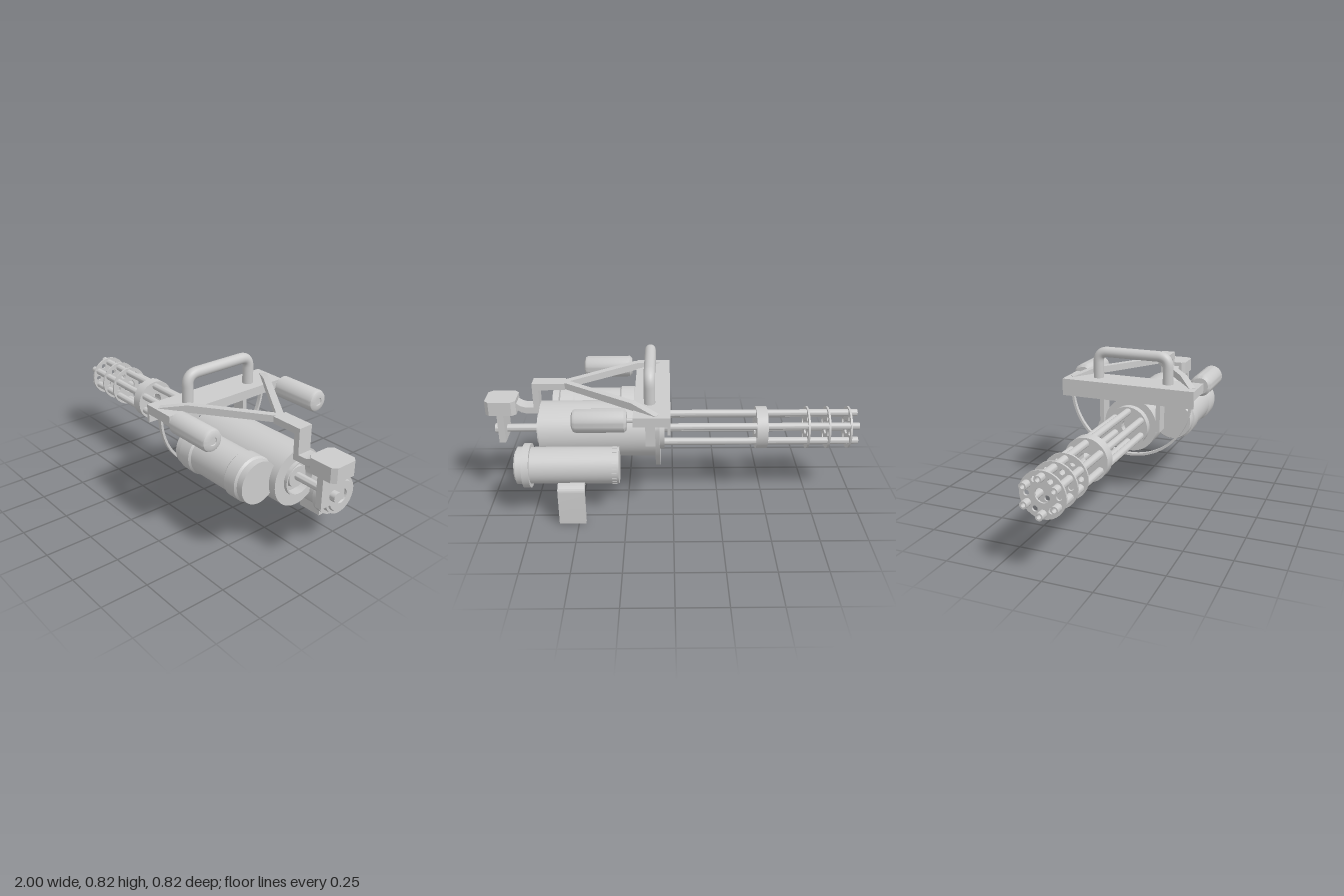
import * as THREE from 'three';
import { toCreasedNormals } from 'three/addons/utils/BufferGeometryUtils.js';

const AXIS_Y = 0.4;

export function createModel() {
  const model = new THREE.Group();
  const material = new THREE.MeshStandardMaterial({ color: 0xcccccc });

  const add = (name, geometry, x = 0, y = 0, z = 0) => {
    const mesh = new THREE.Mesh(geometry, material);
    mesh.name = name;
    mesh.position.set(x, y, z);
    model.add(mesh);
    return mesh;
  };

  // Turned part along x; profile is [x, radius] pairs from the muzzle side to the rear.
  const turned = (profile, segments = 48) => {
    const points = profile.map(([x, r]) => new THREE.Vector2(r, x));
    const geometry = new THREE.LatheGeometry(points, segments).rotateZ(-Math.PI / 2);
    return toCreasedNormals(geometry, 0.6);
  };
  const rod = (x0, x1, r, segments = 24) => turned([[x0, 0], [x0, r], [x1, r], [x1, 0]], segments);

  const box = (name, x0, x1, y0, y1, z0, z1) =>
    add(name, new THREE.BoxGeometry(x1 - x0, y1 - y0, z1 - z0), (x0 + x1) / 2, (y0 + y1) / 2, (z0 + z1) / 2);

  const polygon = (points) => new THREE.Shape(points.map(([x, y]) => new THREE.Vector2(x, y)));
  const extrude = (shape, depth) =>
    toCreasedNormals(new THREE.ExtrudeGeometry(shape, { depth, bevelEnabled: false, curveSegments: 32 }), 0.6);
  // Cross-section in the yz plane (shape x is -z), extruded towards +x.
  const extrudeX = (shape, depth) => extrude(shape, depth).rotateY(Math.PI / 2);

  // Six hollow barrels
  for (let i = 0; i < 6; i++) {
    const a = (i / 6) * Math.PI * 2;
    const barrel = turned([[-0.9, 0], [-0.9, 0.011], [-1, 0.011], [-1, 0.019], [0.1, 0.019]], 20);
    add('barrel', barrel, 0, AXIS_Y + 0.087 * Math.cos(a), 0.087 * Math.sin(a));
  }

  // Barrel spacers: drilled discs, clamp band and rear plate
  const spacer = (name, x, thickness, radius, drilled) => {
    const shape = new THREE.Shape().absarc(0, 0, radius, 0, Math.PI * 2);
    shape.holes.push(new THREE.Path().absarc(0, 0, 0.038, 0, Math.PI * 2, true));
    for (let i = 0; drilled && i < 6; i++) {
      const a = (i / 6) * Math.PI * 2;
      shape.holes.push(new THREE.Path().absarc(0.08 * Math.cos(a), 0.08 * Math.sin(a), 0.014, 0, Math.PI * 2, true));
    }
    add(name, extrudeX(shape, thickness), x, AXIS_Y, 0);
  };
  for (const x of [-0.96, -0.845, -0.735]) spacer('barrelDisc', x, 0.01, 0.115, true);
  spacer('barrelClamp', -0.51, 0.06, 0.115, false);
  spacer('barrelPlate', 0.045, 0.045, 0.113, false);

  // Main housing with a recessed rear collar and drive shaft
  add('housing', turned([
    [0.085, 0], [0.085, 0.152], [0.71, 0.152], [0.71, 0.092], [0.728, 0.092],
    [0.728, 0.084], [0.68, 0.084], [0.68, 0.06], [0.71, 0.055], [0.71, 0],
  ], 64), 0, AXIS_Y, 0);
  add('driveShaft', rod(0.7, 0.91, 0.021), 0, 0.405, 0);
  add('shaftNut', rod(0.93, 0.965, 0.026), 0, 0.403, 0);

  // Left drum with two raised bands
  add('leftDrum', turned([
    [0.17, 0], [0.17, 0.105], [0.175, 0.109], [0.21, 0.109], [0.215, 0.118], [0.285, 0.118], [0.295, 0.109],
    [0.545, 0.109], [0.555, 0.118], [0.625, 0.118], [0.635, 0.109], [0.67, 0.109], [0.67, 0],
  ]), 0, 0.427, 0.215);

  // Right motor with rear flange, end cap and socket
  add('rightMotor', turned([
    [0.285, 0], [0.285, 0.098], [0.75, 0.098], [0.75, 0.118], [0.787, 0.118], [0.787, 0.1],
    [0.822, 0.1], [0.822, 0.086], [0.832, 0.082], [0.832, 0.04], [0.81, 0.033], [0.81, 0],
  ]), 0, 0.277, -0.19);
  for (let i = 0; i < 20; i++) {
    const a = (i / 20) * Math.PI * 2;
    const vent = add('motorVent', new THREE.BoxGeometry(0.025, 0.006, 0.012),
      0.308, 0.277 + 0.098 * Math.cos(a), -0.19 + 0.098 * Math.sin(a));
    vent.rotation.x = a;
  }

  // Bent bracket leg below the right motor
  const leg = new THREE.Shape();
  leg.moveTo(0.332, 0);
  leg.lineTo(0.332, 0.185);
  leg.quadraticCurveTo(0.332, 0.222, 0.285, 0.225);
  leg.lineTo(0.27, 0.205);
  leg.quadraticCurveTo(0.304, 0.2, 0.304, 0.175);
  leg.lineTo(0.304, 0);
  add('bracketLeg', extrudeX(leg, 0.14), 0.463, 0, 0);

  // Cross plate with front lip
  box('crossPlate', 0.015, 0.2, 0.595, 0.645, -0.38, 0.38);
  box('plateLip', 0.015, 0.03, 0.55, 0.6, -0.38, 0.38);

  // Hoop hanging below the plate
  const hoop = new THREE.Shape();
  hoop.absarc(0, 0.575, 0.352, Math.PI, Math.PI * 2, false);
  hoop.lineTo(0.338, 0.6);
  hoop.absarc(0, 0.575, 0.339, Math.PI * 2, Math.PI, true);
  add('hoop', extrudeX(hoop, 0.022), 0.069, 0, 0);

  // Carrying handle
  const handlePath = new THREE.CurvePath();
  const v = (y, z) => new THREE.Vector3(0.12, y, z);
  handlePath.add(new THREE.LineCurve3(v(0.63, 0.204), v(0.735, 0.204)));
  handlePath.add(new THREE.QuadraticBezierCurve3(v(0.735, 0.204), v(0.793, 0.204), v(0.793, 0.146)));
  handlePath.add(new THREE.LineCurve3(v(0.793, 0.146), v(0.793, -0.146)));
  handlePath.add(new THREE.QuadraticBezierCurve3(v(0.793, -0.146), v(0.793, -0.204), v(0.735, -0.204)));
  handlePath.add(new THREE.LineCurve3(v(0.735, -0.204), v(0.63, -0.204)));
  add('handle', new THREE.TubeGeometry(handlePath, 90, 0.029, 24));

  // Mirrored parts: hangers, side cylinders and diagonal struts
  const strutLength = Math.hypot(0.5, 0.355);
  for (const s of [1, -1]) {
    add('hanger', new THREE.BoxGeometry(0.075, 0.225, 0.024), 0.108, 0.4925, s * 0.165);
    add('sideCylinder', turned([
      [0.23, 0], [0.23, 0.045], [0.242, 0.059], [0.48, 0.059], [0.493, 0.053], [0.5, 0.04],
      [0.5, 0.021], [0.495, 0.019], [0.495, 0],
    ], 40), 0, 0.62, s * 0.352);
    add('sidePin', rod(0.19, 0.235, 0.012), 0, 0.62, s * 0.352);
    const profile = polygon([[0, 0.64], [strutLength, 0.645], [strutLength, 0.68], [0.15, 0.68], [0, 0.647]]);
    const strut = add('strut', extrude(profile, 0.036).translate(0, 0, -0.018), 0.08, 0, s * 0.352);
    strut.rotation.y = s * Math.atan2(0.355, 0.5);
  }

  // Rear arm stepping down to the control block
  const arm = polygon([
    [0.57, 0.645], [0.71, 0.645], [0.71, 0.51], [0.785, 0.51], [0.81, 0.517], [0.845, 0.54],
    [0.845, 0.575], [0.81, 0.552], [0.785, 0.545], [0.742, 0.545], [0.742, 0.68], [0.57, 0.68],
  ]);
  add('rearArm', extrude(arm, 0.08), 0, 0, -0.04);
  const block = polygon([
    [0.855, -0.078], [0.975, -0.078], [0.997, -0.057], [0.997, 0.057],
    [0.975, 0.078], [0.855, 0.078], [0.833, 0.057], [0.833, -0.057],
  ]);
  add('controlBlock', extrude(block, 0.078).rotateX(-Math.PI / 2), 0, 0.513, 0);
  box('shaftPlate', 0.9, 0.935, 0.355, 0.52, -0.078, 0.078);

  return model;
}
